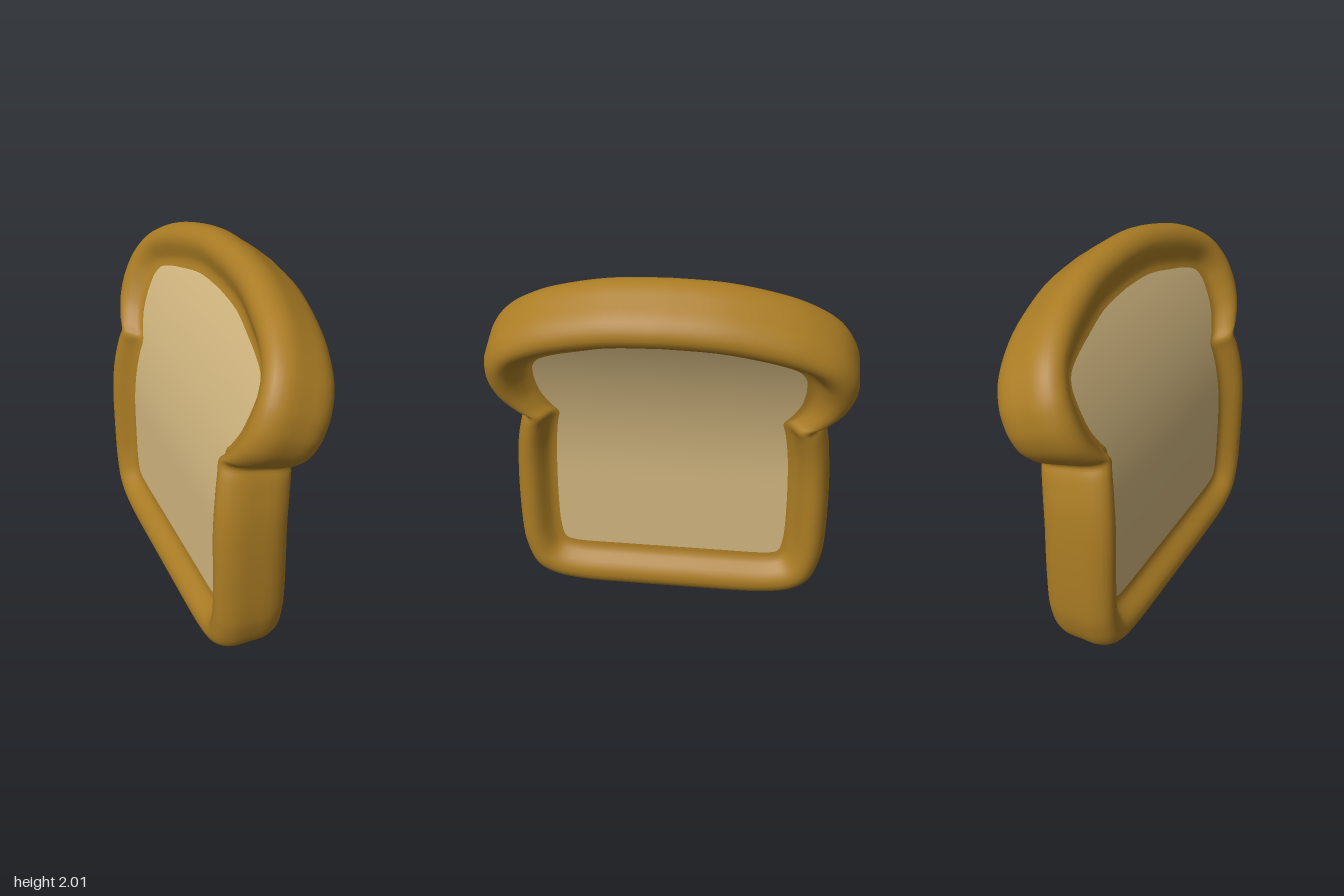
import * as THREE from 'three';

// Half outlines (z, y) of the flat slice, bottom centre to top centre, in matching pairs
const OUTER = [[0, 0], [.3, 0], [.52, .005], [.7, .035], [.82, .11], [.875, .25], [.893, .4], [.893, .7],
  [.875, .96], [.835, 1.14], [.81, 1.21], [.88, 1.26], [.95, 1.34], [.985, 1.43], [.99, 1.51],
  [.97, 1.61], [.9, 1.73], [.78, 1.83], [.6, 1.92], [.3, 2.0], [0, 2.02]];
const INNER = [[0, .28], [.3, .28], [.5, .28], [.6, .29], [.635, .315], [.65, .37], [.66, .48], [.66, .72],
  [.65, .95], [.63, 1.12], [.615, 1.2], [.65, 1.25], [.7, 1.34], [.72, 1.43], [.723, 1.5],
  [.715, 1.565], [.675, 1.62], [.59, 1.66], [.46, 1.7], [.24, 1.755], [0, 1.77]];
// Half rim section: (share of the way from outer to inner outline, offset from mid plane)
const RIM = [[1, .105], [.84, .112], [.7, .145], [.54, .184], [.34, .195], [.17, .175], [.06, .135], [0, .08], [0, 0]];

const STEPS = 4; // subdivisions between outline points
const BEND_START = 0.75, BEND_RADIUS = 1.95, MID_X = -0.17;

// Spline through 2D points, sampled at equal steps per control point
function smooth(points, steps) {
  const curve = new THREE.SplineCurve(points.map(([a, b]) => new THREE.Vector2(a, b)));
  return curve.getPoints((points.length - 1) * steps);
}

// Closed outline: the half and its mirror image
const mirror = half => [...half, ...half.slice(1, -1).reverse().map(p => new THREE.Vector2(-p.x, p.y))];

// Curl the upper part of the slice towards +x
function bend(offset, y, z) {
  const angle = Math.max(0, y - BEND_START) / BEND_RADIUS;
  const r = BEND_RADIUS - offset;
  return [MID_X + BEND_RADIUS - r * Math.cos(angle),
    Math.min(y, BEND_START) + r * Math.sin(angle), z];
}

// Smooth surface from rows of points
function surface(rows, closed, flip) {
  const n = rows[0].length, index = [];
  const count = closed ? rows.length : rows.length - 1;
  for (let i = 0; i < count; i++) {
    for (let j = 0; j < n - 1; j++) {
      const a = i * n + j, b = ((i + 1) % rows.length) * n + j;
      if (flip) index.push(a, a + 1, b, b, a + 1, b + 1);
      else index.push(a, b, a + 1, b, b + 1, a + 1);
    }
  }
  const geometry = new THREE.BufferGeometry();
  geometry.setAttribute('position', new THREE.Float32BufferAttribute(rows.flat(2), 3));
  geometry.setIndex(index);
  geometry.computeVertexNormals();
  return geometry;
}

export function createModel() {
  const crustBrown = new THREE.MeshStandardMaterial({ color: 0xaa7c24 });
  crustBrown.name = 'crustBrown';
  const crumbCream = new THREE.MeshStandardMaterial({ color: 0xd2b780 });
  crumbCream.name = 'crumbCream';

  const group = new THREE.Group();
  group.name = 'breadSlice';
  const add = (name, geometry, material) => {
    const mesh = new THREE.Mesh(geometry, material);
    mesh.name = name;
    group.add(mesh);
  };

  const innerHalf = smooth(INNER, STEPS);
  const outer = mirror(smooth(OUTER, STEPS)), inner = mirror(innerHalf);

  // Crust: rounded rim swept around the outline
  const section = smooth([...RIM, ...RIM.slice(0, -1).reverse().map(([t, d]) => [t, -d])], 2);
  const rows = outer.map((o, i) => section.map(s => {
    const p = o.clone().lerp(inner[i], s.x);
    return bend(s.y, p.y, p.x);
  }));
  add('crust', surface(rows, true, false), crustBrown);

  // Crumb: recessed curved panel on each face
  for (const side of [1, -1]) {
    const panel = innerHalf.map(p => Array.from({ length: 13 }, (_, j) =>
      bend(side * RIM[0][1], p.y, p.x * (j / 6 - 1))));
    add(side > 0 ? 'crumbInnerCurve' : 'crumbOuterCurve', surface(panel, false, side < 0), crumbCream);
  }
  return group;
}
